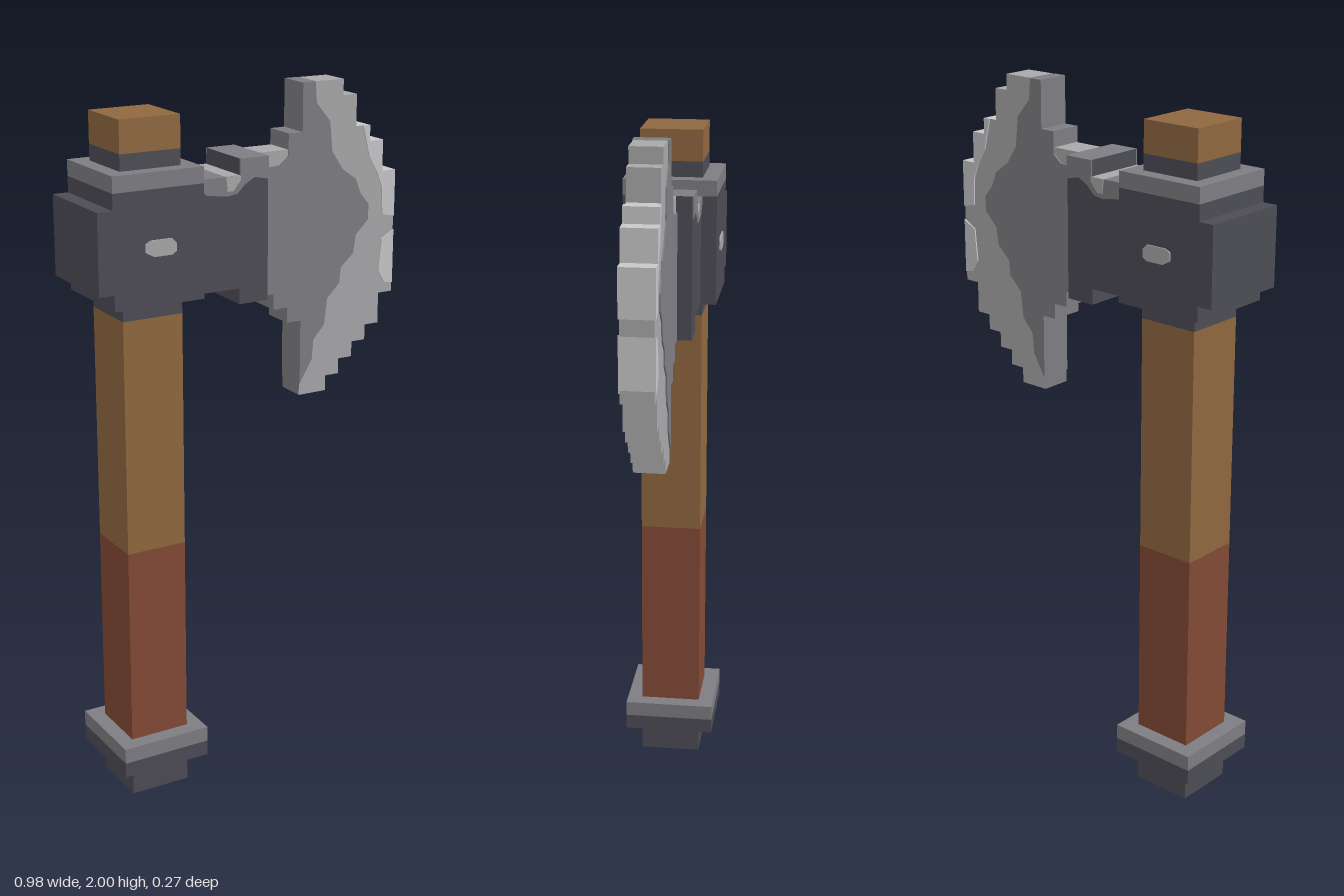
import * as THREE from 'three';

const U = 2 / 45; // one block unit; the axe is 22 units wide and 45 tall

const mat = (name, color) => {
  const m = new THREE.MeshStandardMaterial({ color });
  m.name = name;
  return m;
};

export function createModel() {
  const dark = mat('dark iron', 0x4d4c55);
  const mid = mat('grey iron', 0x7e7d82);
  const light = mat('light steel', 0xa8a8aa);
  const pale = mat('pale steel', 0xc8c8ca);
  const wood = mat('wood', 0x90683f);
  const leather = mat('red leather', 0x834a35);

  const axe = new THREE.Group();
  axe.name = 'axe';

  // Box from block coordinates: x from i0 to i1, y from j0 to j1, z from -k to k
  const box = (name, material, i0, i1, j0, j1, k, parent = axe) => {
    const geo = new THREE.BoxGeometry((i1 - i0) * U, (j1 - j0) * U, 2 * k * U);
    const mesh = new THREE.Mesh(geo, material);
    mesh.position.set(((i0 + i1) / 2 - 11) * U, ((j0 + j1) / 2) * U, 0);
    mesh.name = name;
    parent.add(mesh);
  };

  // Thin painted plate on both faces of a part that is k units deep to each side
  const plates = (name, material, pts, k, depth = 0.004) => {
    const shape = new THREE.Shape(pts.map(([i, j]) => new THREE.Vector2((i - 11) * U, j * U)));
    const geo = new THREE.ExtrudeGeometry(shape, { depth, bevelEnabled: false });
    for (const [side, z] of [['Front', k * U], ['Back', -k * U - depth]]) {
      const mesh = new THREE.Mesh(geo, material);
      mesh.position.z = z;
      mesh.name = name + side;
      axe.add(mesh);
    }
  };

  // Handle and pommel
  box('pommel', dark, 2, 6, 0, 2, 2);
  box('pommelRingLower', dark, 1, 7, 2, 3, 3);
  box('pommelRingUpper', mid, 1, 7, 3, 4, 3);
  box('grip', leather, 2, 6, 4, 17, 2);
  box('shaft', wood, 2, 6, 17, 32, 2);
  box('lowerCuff', dark, 2, 6, 32, 33, 2);
  box('upperCuff', dark, 2, 6, 41, 42, 2);
  box('shaftTip', wood, 2, 6, 42, 44, 2);

  // Head socket around the shaft
  box('socket', dark, 1, 7, 33, 40, 3);
  box('socketRim', mid, 1, 7, 40, 41, 3);
  box('socketBack', dark, 0, 1, 34, 39, 3);
  plates('socketStud', light, [
    [3.05, 36.8], [3.4, 37], [4.8, 37], [5.1, 36.7], [5.1, 36.2], [4.8, 36], [3.6, 36], [3.05, 36.3],
  ], 3);

  // Neck, with worn upper faces
  const topped = (top) => [dark, dark, top, dark, dark, dark];
  box('neckInner', topped(mid), 7, 9, 33, 40, 2);
  box('neckMiddle', topped(light), 9, 10, 33, 40, 2);
  box('neckOuter', topped(mid), 10, 12, 32, 41, 2);
  plates('neckWear', mid, [
    [7, 40], [7, 39.6], [7.7, 39], [9.1, 38.8], [9.8, 38.9], [10.3, 39.4],
    [11, 39.8], [12, 39.6], [12, 41], [10, 41], [10, 40],
  ], 2);
  plates('neckGlint', light, [[9, 40], [10, 40], [10, 39.7], [9.5, 39.1], [9.1, 39.1]], 2, 0.006);

  // Stepped blade: bottom and top of each column, from the neck outwards
  const columns = [
    [32, 41], [31, 41], [30, 42], [25, 45], [25, 45],
    [26, 45], [27, 44], [28, 42], [29, 41],
  ];
  const blade = new THREE.Group();
  blade.name = 'blade';
  axe.add(blade);
  columns.forEach(([low, high], n) => {
    const i = 12 + n;
    const top = i === 14 || i === 15 ? mid : i >= 19 ? pale : light;
    const inner = i <= 15 ? mid : light;
    const edge = i >= 19 ? pale : light;
    box('bladeLower' + n, [light, inner, light, light, light, light], i, i + 1, low, 36, 1, blade);
    box('bladeUpper' + n, [edge, inner, top, light, light, light], i, i + 1, 36, high, 1, blade);
  });

  // Cutting edge, with pale worn stretches
  const edged = (m) => [m, light, m, light, light, light];
  [[31, 31.8, light], [31.8, 35, pale], [35, 36, light], [36, 39, pale]].forEach(([a, b, m], n) =>
    box('cuttingEdge' + n, edged(m), 21, 22, a, b, 1, blade));

  // Painted areas on the blade faces
  plates('bladeCore', mid, [
    [12, 40], [13.4, 40.1], [14, 40.6], [14, 42], [15, 42], [15, 45], [15.9, 45], [16, 43.7],
    [17, 42.5], [17.2, 40.6], [18, 39.4], [19, 38.7], [19.4, 37.7], [20, 37], [20, 36],
    [19.1, 35.1], [18.9, 33.9], [18, 33.1], [17.9, 32.1], [17, 31.2], [16.8, 29.5], [16, 28.6],
    [15.9, 27.3], [15, 25.8], [15, 30], [14, 30], [14, 31], [13, 31], [13, 32], [12, 32],
  ], 1);
  plates('edgeWearUpper', pale, [
    [19.5, 42], [20, 42], [20, 41], [21, 41], [21, 39], [22, 39], [22, 36],
    [21.1, 36.2], [21, 38], [20.6, 39], [20, 40],
  ], 1);
  plates('edgeWearLower', pale, [[22, 35.1], [21.1, 34.6], [20.9, 32.5], [21.4, 31.7], [22, 31.6]], 1);

  return axe;
}
